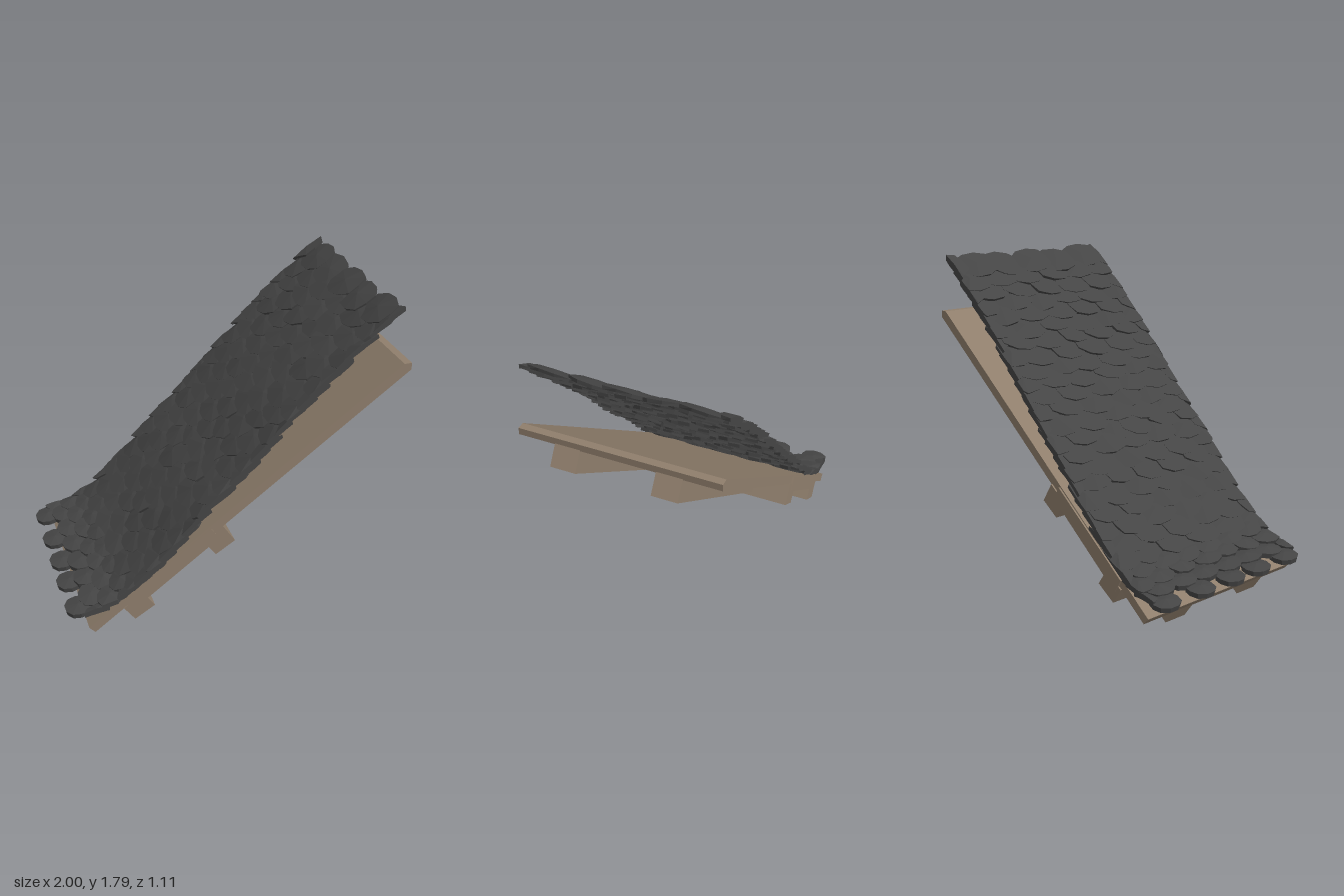
import * as THREE from 'three';
import { mergeGeometries } from 'three/addons/utils/BufferGeometryUtils.js';

const HALF = 0.545; // half width of the roof

export function createModel() {
  const model = new THREE.Group();
  model.name = 'roofSection';
  const wood = new THREE.MeshStandardMaterial({ color: 0x8f7e6c });
  wood.name = 'weathered wood';
  const slate = new THREE.MeshStandardMaterial({ color: 0x454545 });
  slate.name = 'dark slate';

  // Side profile in x/y, extruded across the roof from z0 to z1
  function prism(name, pts, z0, z1) {
    const shape = new THREE.Shape(pts.map(p => new THREE.Vector2(p[0], p[1])));
    const geo = new THREE.ExtrudeGeometry(shape, { depth: z1 - z0, bevelEnabled: false });
    geo.translate(0, 0, z0);
    const mesh = new THREE.Mesh(geo, wood);
    mesh.name = name;
    model.add(mesh);
  }

  // Sloping deck with a plumb-cut upper edge
  prism('deck', [[-0.888, 0.112], [-0.855, 0.075], [0.936, 1.41], [0.936, 1.449], [0.893, 1.449]], -HALF, HALF);

  // Cross beams under the rafters
  prism('upperCrossBeam', [[-0.05, 0.52], [-0.12, 0.63], [-0.23, 0.55], [-0.16, 0.45]], -0.553, 0.553);
  prism('lowerCrossBeam', [[-0.515, 0.185], [-0.575, 0.275], [-0.69, 0.205], [-0.63, 0.115]], -0.553, 0.553);

  for (const s of [-1, 1]) {
    const across = (name, pts, a, b) => prism(name, pts, Math.min(s * a, s * b), Math.max(s * a, s * b));
    across('rafter', [[-0.87, 0.095], [-0.803, 0], [1, 1.316], [0.936, 1.415]], 0.203, 0.342);
    across('rafterPad', [[-0.6, 0.28], [-0.585, 0.24], [-0.135, 0.575], [-0.15, 0.615]], 0.18, 0.41);
    across('sideBoard', [[-0.69, 0.257], [-0.645, 0.178], [-0.14, 0.556], [-0.187, 0.628]], 0.535, 0.555);
  }

  // Small seeded generator for the hand-laid unevenness
  let seed = 17;
  const rand = () => {
    seed = (seed * 16807) % 2147483647;
    return seed / 2147483647 - 0.5;
  };

  // One slate: a domed, rounded plate
  function tile(length, width, thick, square) {
    const geo = new THREE.CylinderGeometry(1, 0.94, 1, 10);
    const p = geo.attributes.position;
    for (let i = 0; i < p.count; i++) {
      const x = p.getX(i), z = p.getZ(i), r = Math.hypot(x, z);
      const k = r > 0 ? 1 + square * Math.abs(x * z) / (r * r) : 1;
      p.setXYZ(i, x * k * length / 2, p.getY(i) * thick + 0.012 * (1 - r), z * k * width / 2);
    }
    return geo;
  }

  // Line the slates follow, flaring out at the eaves
  const path = new THREE.CatmullRomCurve3([
    [-0.925, 0.19], [-0.8, 0.225], [-0.67, 0.285], [-0.47, 0.455], [-0.2, 0.74],
    [0, 0.935], [0.33, 1.285], [0.6, 1.545], [0.785, 1.715],
  ].map(([x, y]) => new THREE.Vector3(x, y, 0)));

  const slates = [];
  const rows = 26;
  for (let r = 0; r < rows; r++) {
    const t = r / (rows - 1);
    const at = path.getPointAt(t);
    const dir = path.getTangentAt(t);
    const slope = Math.atan2(dir.y, dir.x);
    const eaves = r < 4;
    const count = r === 0 ? 5 : eaves ? 7 : 6;
    const pitch = r === 0 ? 0.225 : eaves ? 0.165 : 0.2;
    const shift = r > 0 && r % 2 ? pitch / 2 : 0;
    const n = shift ? count + 1 : count;
    for (let i = 0; i < n; i++) {
      const z = (i - (n - 1) / 2) * pitch;
      const loose = r === 0 ? 0.25 : 1;
      const geo = eaves
        ? tile(0.15, r === 0 ? 0.165 : 0.185, 0.03, 0.1)
        : tile(0.2, 0.25, 0.02, 0.3);
      const turn = new THREE.Euler(
        rand() * 0.2 * loose, rand() * 0.45 * loose, slope - 0.17 + rand() * 0.06, 'ZYX');
      geo.applyMatrix4(new THREE.Matrix4().makeRotationFromEuler(turn));
      const d = rand() * 0.035 * loose;
      geo.translate(at.x + d * dir.x, at.y + d * dir.y, z + rand() * 0.03);
      // Trim to the verge and ridge
      const p = geo.attributes.position;
      for (let v = 0; v < p.count; v++) {
        p.setZ(v, THREE.MathUtils.clamp(p.getZ(v), -HALF, HALF));
        p.setX(v, THREE.MathUtils.clamp(p.getX(v), -1, 0.865));
        p.setY(v, Math.min(p.getY(v), 1.8));
      }
      const flat = geo.toNonIndexed();
      flat.computeVertexNormals();
      slates.push(flat);
    }
  }
  const covering = new THREE.Mesh(mergeGeometries(slates), slate);
  covering.name = 'slateTiles';
  model.add(covering);

  return model;
}
